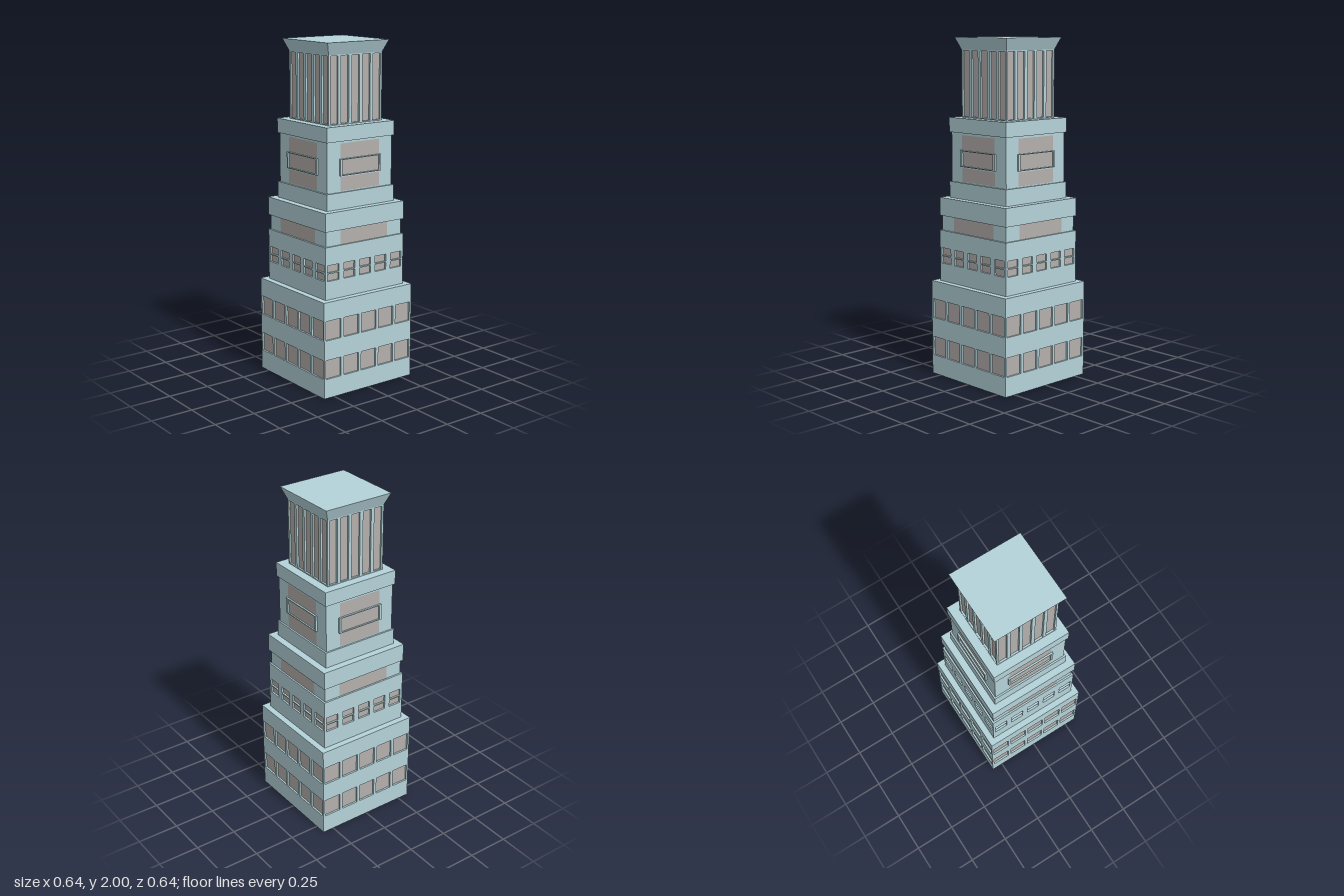
import * as THREE from 'three';

const wallMat = new THREE.MeshStandardMaterial({ color: 0xb4d3da });
const glassMat = new THREE.MeshStandardMaterial({ color: 0xb3afac });

function rectPath(path, x, y, w, h) {
  path.moveTo(x - w / 2, y - h / 2);
  path.lineTo(x + w / 2, y - h / 2);
  path.lineTo(x + w / 2, y + h / 2);
  path.lineTo(x - w / 2, y + h / 2);
  path.closePath();
  return path;
}

// Square block of half-width h between two heights
function block(name, h, y0, y1) {
  const mesh = new THREE.Mesh(new THREE.BoxGeometry(2 * h, y1 - y0, 2 * h), wallMat);
  mesh.position.y = (y0 + y1) / 2;
  mesh.name = name;
  return mesh;
}

// Flat pane facing +z
function pane(name, x, y, z, w, h) {
  const mesh = new THREE.Mesh(new THREE.PlaneGeometry(w, h), glassMat);
  mesh.position.set(x, y, z);
  mesh.name = name;
  return mesh;
}

// Slab with rectangular openings [x, y, w, h]; its front face lies at z
function piercedWall(name, outer, openings, z, depth) {
  const shape = rectPath(new THREE.Shape(), ...outer);
  for (const o of openings) shape.holes.push(rectPath(new THREE.Path(), ...o));
  const geo = new THREE.ExtrudeGeometry(shape, { depth, bevelEnabled: false });
  const mesh = new THREE.Mesh(geo, wallMat);
  mesh.position.z = z - depth;
  mesh.name = name;
  return mesh;
}

// Repeat a facade on all four sides
function fourSides(name, build) {
  const group = new THREE.Group();
  group.name = name;
  for (let i = 0; i < 4; i++) {
    const side = new THREE.Group();
    side.name = name + 'Side';
    side.add(...build());
    side.rotation.y = i * Math.PI / 2;
    group.add(side);
  }
  return group;
}

// Tier with recessed windows on every side
function windowedTier(name, h, y0, y1, windows, depth) {
  const tier = fourSides(name, () => [
    piercedWall('wall', [0, (y0 + y1) / 2, 2 * h, y1 - y0], windows, h, depth),
    ...windows.map(([x, y, w, t]) => pane('window', x, y, h - depth + 0.001, w, t)),
  ]);
  tier.add(block('core', h - depth, y0, y1));
  return tier;
}

// Rows of five evenly spaced openings
function rows(spacing, w, ranges) {
  return ranges.flatMap(([a, b]) =>
    [-2, -1, 0, 1, 2].map(i => [i * spacing, (a + b) / 2, w, b - a]));
}

export function createModel() {
  const tower = new THREE.Group();
  tower.name = 'tower';

  // Base with two rows of square windows
  tower.add(windowedTier('base', 0.32, 0, 0.57,
    rows(0.127, 0.108, [[0.115, 0.228], [0.345, 0.46]]), 0.012));

  // Second tier: small paired windows, then a recessed band under a parapet
  tower.add(windowedTier('secondTier', 0.283, 0.57, 0.875,
    rows(0.114, 0.08, [[0.678, 0.72], [0.727, 0.77]]), 0.012));
  tower.add(block('recessedBand', 0.272, 0.875, 0.963));
  tower.add(fourSides('bandGlazing', () => [pane('bandWindow', 0, 0.919, 0.273, 0.34, 0.088)]));
  tower.add(block('secondParapet', 0.283, 0.963, 1.07));

  // Third tier with plinth, cornice and flush glazing
  tower.add(block('thirdPlinth', 0.241, 1.07, 1.165));
  tower.add(block('thirdBody', 0.231, 1.165, 1.455));
  tower.add(block('thirdCornice', 0.241, 1.455, 1.54));
  tower.add(fourSides('bayFacade', () => [
    pane('upperGlazing', 0, 1.4, 0.232, 0.276, 0.085),
    pane('lowerGlazing', 0, 1.212, 0.232, 0.276, 0.08),
    piercedWall('bayFrame', [0, 1.307, 0.292, 0.096], [[0, 1.307, 0.264, 0.086]], 0.242, 0.012),
    pane('bayWindow', 0, 1.307, 0.2335, 0.264, 0.086),
  ]));

  // Crown with tall slots between piers
  tower.add(windowedTier('crown', 0.189, 1.54, 1.93, rows(0.076, 0.055, [[1.546, 1.924]]), 0.012));

  // Flared roof
  const roofGeo = new THREE.BoxGeometry(0.434, 0.07, 0.434);
  const p = roofGeo.attributes.position;
  for (let i = 0; i < p.count; i++) {
    if (p.getY(i) < 0) p.setXYZ(i, Math.sign(p.getX(i)) * 0.189, p.getY(i), Math.sign(p.getZ(i)) * 0.189);
  }
  roofGeo.computeVertexNormals();
  const roof = new THREE.Mesh(roofGeo, wallMat);
  roof.position.y = 1.965;
  roof.name = 'flaredRoof';
  tower.add(roof);

  return tower;
}
